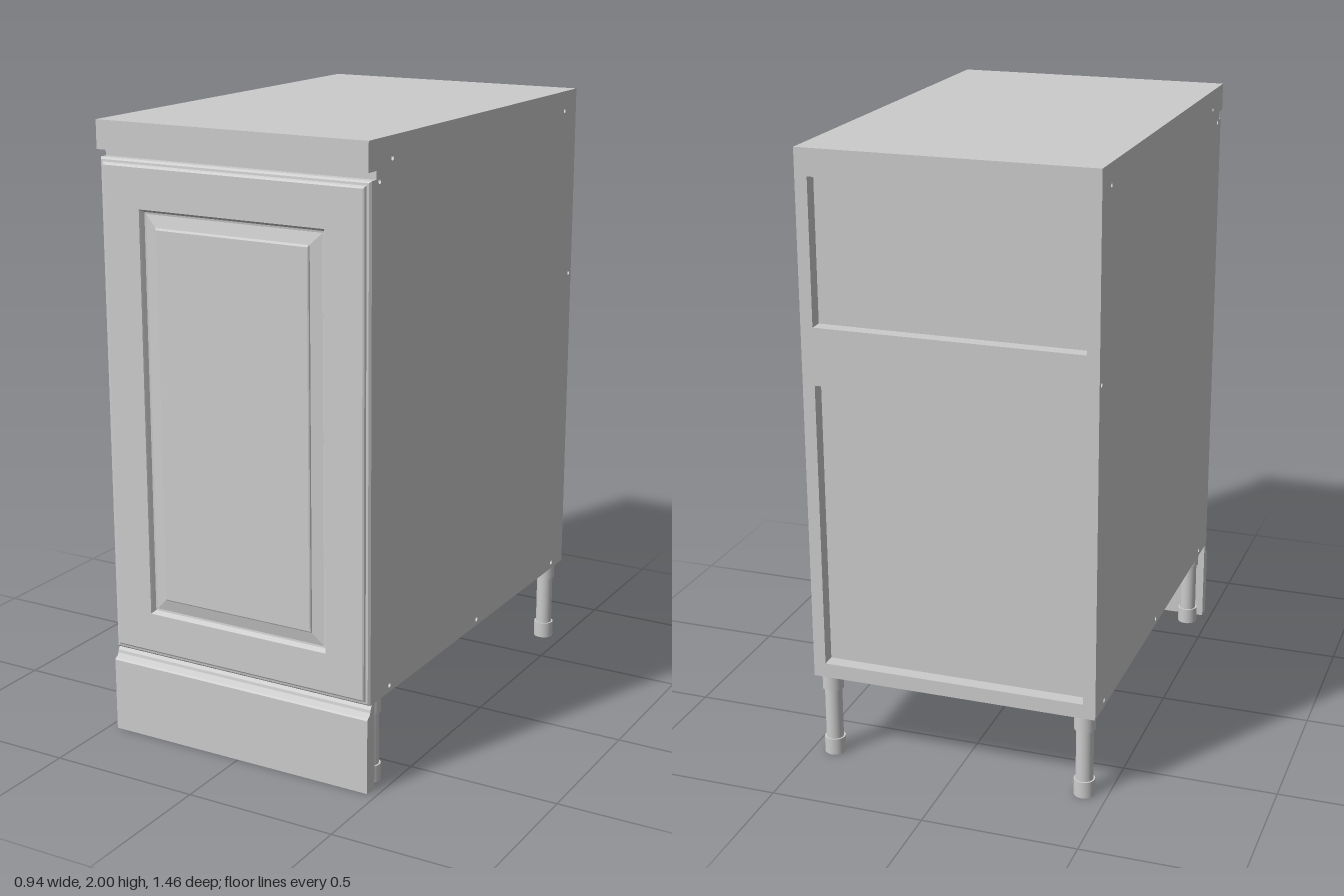
import * as THREE from 'three';

const material = new THREE.MeshStandardMaterial({ color: 0xcccccc });
const HALF = 0.47, BOARD = 0.04, INNER = HALF - BOARD;
const BACK = -0.73, CARCASS = 0.685, FRONT = 0.73;
const BOTTOM = 0.285, TOP = 2;

function addMesh(parent, name, geometry) {
  const mesh = new THREE.Mesh(geometry, material);
  mesh.name = name;
  parent.add(mesh);
  return mesh;
}

// Box given by its limits, spanning between the side boards
function addBoard(parent, name, y0, y1, z0, z1) {
  const mesh = addMesh(parent, name, new THREE.BoxGeometry(2 * INNER, y1 - y0, z1 - z0));
  mesh.position.set(0, (y0 + y1) / 2, (z0 + z1) / 2);
}

// Extrude a (z, y) outline along x, from x = -width to x = 0
function extrudeAlongX(points, width, holes = []) {
  const shape = new THREE.Shape(points.map(([z, y]) => new THREE.Vector2(z, y)));
  for (const [z, y] of holes) shape.holes.push(new THREE.Path().absarc(z, y, 0.008, 0, Math.PI * 2, true));
  return new THREE.ExtrudeGeometry(shape, { depth: width, bevelEnabled: false, curveSegments: 6 })
    .rotateY(-Math.PI / 2);
}

// Skin a rectangular panel from nested frames of [inset, z]
function nestedPanel(x, y0, y1, rings) {
  const corners = ([d, z]) => [[-x + d, y0 + d, z], [x - d, y0 + d, z], [x - d, y1 - d, z], [-x + d, y1 - d, z]];
  const positions = [];
  const quad = (a, b, c, d) => positions.push(...a, ...b, ...c, ...a, ...c, ...d);
  for (let r = 0; r < rings.length - 1; r++) {
    const outer = corners(rings[r]), inner = corners(rings[r + 1]);
    for (let i = 0; i < 4; i++) {
      const j = (i + 1) % 4;
      quad(outer[i], outer[j], inner[j], inner[i]);
    }
  }
  quad(...corners(rings[rings.length - 1]));
  quad(...corners(rings[0]).reverse());
  const geometry = new THREE.BufferGeometry();
  geometry.setAttribute('position', new THREE.Float32BufferAttribute(positions, 3));
  geometry.computeVertexNormals();
  return geometry;
}

export function createModel() {
  const model = new THREE.Group();
  model.name = 'baseCabinet';

  // Side boards with fixing holes and a forward step under the worktop
  const outline = [
    [BACK, BOTTOM], [CARCASS, BOTTOM], [CARCASS, 1.91], [FRONT, 1.91], [FRONT, TOP], [BACK, TOP],
  ];
  const holes = [
    [0.59, 1.935], [-0.635, 1.935], [0.665, 1.878], [-0.71, 1.363],
    [0.59, 0.307], [-0.02, 0.307], [-0.635, 0.307],
  ];
  const side = extrudeAlongX(outline, BOARD, holes);
  addMesh(model, 'leftSide', side).position.x = HALF;
  addMesh(model, 'rightSide', side).position.x = -INNER;

  // Closed carcass, front edge and the rails framing the two back recesses
  addBoard(model, 'carcass', BOTTOM, TOP, BACK + 0.045, CARCASS);
  addBoard(model, 'frontTopRail', 1.91, TOP, CARCASS, FRONT);
  for (const [name, y0, y1] of [
    ['backBottomRail', BOTTOM, 0.333], ['backMiddleRail', 1.27, 1.454], ['backTopRail', 1.915, TOP],
  ]) addBoard(model, name, y0, y1, BACK, BACK + 0.045);

  // Door: stepped outer edge, groove and raised centre field
  addMesh(model, 'door', nestedPanel(HALF, BOTTOM, 1.885, [
    [0, CARCASS], [0, 0.71], [0.006, 0.717], [0.013, 0.718], [0.016, 0.724], [0.021, 0.727],
    [0.147, 0.727], [0.15, 0.722], [0.156, 0.711], [0.162, 0.71],
    [0.2, 0.718], [0.202, 0.722], [0.206, 0.724],
  ]));

  // Plinth with moulded top edge
  const plinth = extrudeAlongX([
    [CARCASS, 0], [FRONT, 0], [FRONT, 0.243], [0.726, 0.249], [0.717, 0.253],
    [0.712, 0.262], [0.71, 0.271], [0.704, 0.281], [0.698, BOTTOM], [CARCASS, BOTTOM],
  ], 2 * HALF);
  addMesh(model, 'plinth', plinth).position.x = HALF;

  // Legs: a turned post with a collar at each end
  const legParts = [[0.034, 0, 0.055], [0.028, 0.055, 0.23], [0.034, 0.23, BOTTOM]];
  for (const x of [-0.425, 0.425]) {
    for (const z of [0.632, -0.687]) {
      const leg = new THREE.Group();
      leg.name = (z > 0 ? 'front' : 'back') + (x > 0 ? 'Left' : 'Right') + 'Leg';
      leg.position.set(x, 0, z);
      for (const [radius, y0, y1] of legParts) {
        const part = addMesh(leg, radius > 0.03 ? 'collar' : 'post',
          new THREE.CylinderGeometry(radius, radius, y1 - y0, 24));
        part.position.y = (y0 + y1) / 2;
      }
      model.add(leg);
    }
  }
  return model;
}
